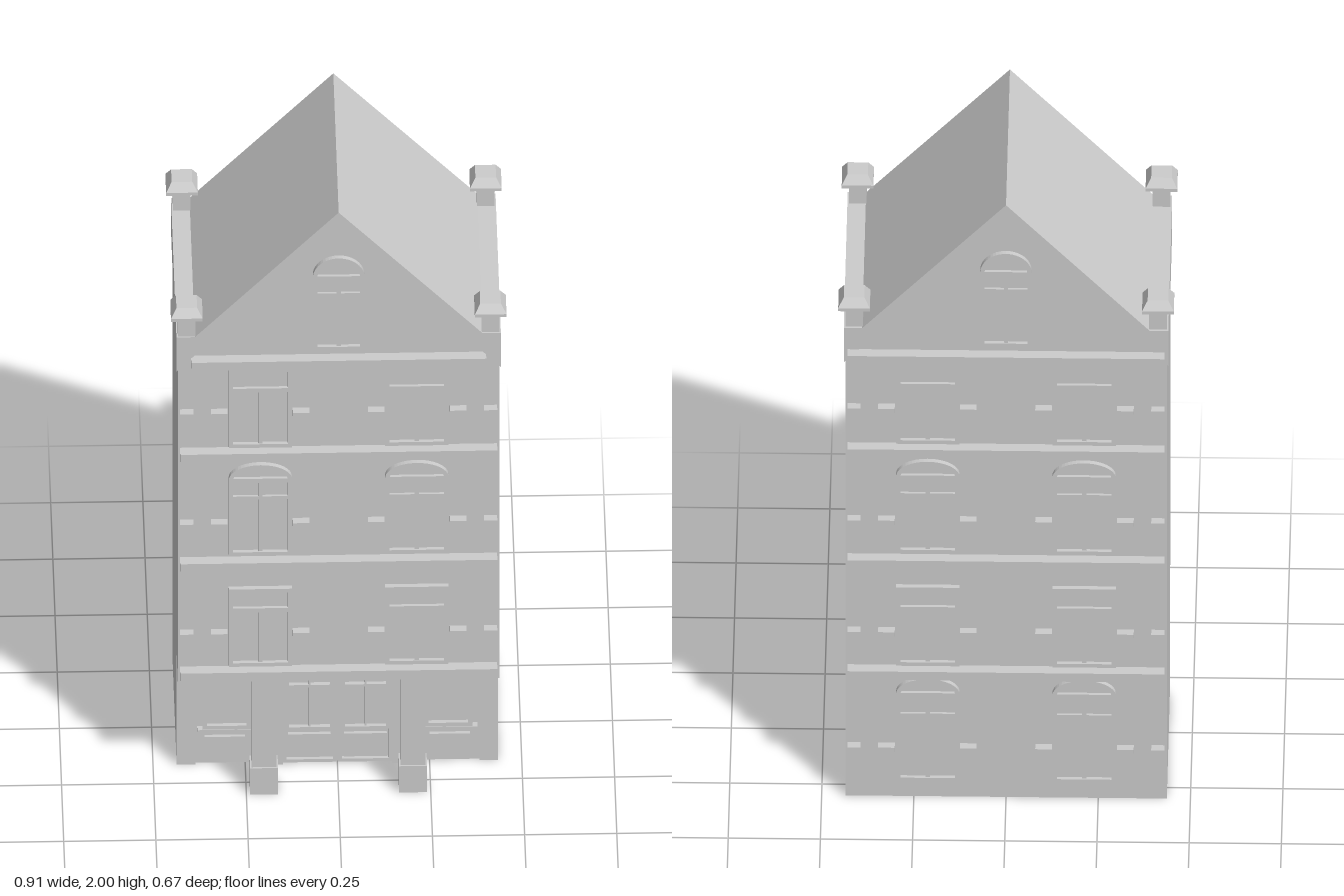
import * as THREE from 'three';

const grey = new THREE.MeshStandardMaterial({ color: 0xcccccc });

function add(parent, name, geometry, x = 0, y = 0, z = 0) {
  const mesh = new THREE.Mesh(geometry, grey);
  mesh.name = name;
  mesh.position.set(x, y, z);
  parent.add(mesh);
  return mesh;
}

// Box given by its limits on each axis
function block(parent, name, x0, x1, y0, y1, z0, z1) {
  return add(parent, name, new THREE.BoxGeometry(x1 - x0, y1 - y0, z1 - z0),
    (x0 + x1) / 2, (y0 + y1) / 2, (z0 + z1) / 2);
}

function prism(parent, name, shape, z0, z1) {
  const geometry = new THREE.ExtrudeGeometry(shape, { depth: z1 - z0, bevelEnabled: false, curveSegments: 12 });
  return add(parent, name, geometry, 0, 0, z0);
}

const polygon = (points) => new THREE.Shape(points.map(([x, y]) => new THREE.Vector2(x, y)));

// Rectangle of half width w, topped by an elliptical arch of the given rise
function opening(w, y0, y1, rise) {
  const s = new THREE.Shape();
  s.moveTo(-w, y0);
  s.lineTo(w, y0);
  s.lineTo(w, y1);
  if (rise > 0) s.absellipse(0, y1, w, rise, 0, Math.PI, false);
  else s.lineTo(-w, y1);
  s.lineTo(-w, y0);
  return s;
}

function frame(parent, name, w, y0, y1, rise, border, z0, z1) {
  const s = opening(w, y0, y1, rise);
  s.holes.push(opening(w - border, y0 + border, rise ? y1 : y1 - border, rise ? rise - border : 0));
  return prism(parent, name, s, z0, z1);
}

// Casement window with frame, transom, two lower sashes and an optional arched light
function addWindow(parent, x, w, y0, y1, rise) {
  const g = new THREE.Group();
  g.name = 'window';
  g.position.x = x;
  parent.add(g);
  prism(g, 'glass', opening(w - 0.004, y0 + 0.004, y1, Math.max(rise - 0.004, 0)), -0.005, 0.003);
  frame(g, 'windowFrame', w, y0, y1, rise, 0.012, -0.005, 0.014);
  const transom = rise ? y1 - 0.005 : y0 + (y1 - y0) * 0.72;
  block(g, 'transom', -w + 0.01, w - 0.01, transom - 0.007, transom + 0.007, 0, 0.012);
  block(g, 'mullion', -0.006, 0.006, y0 + 0.01, transom, 0, 0.01);
  if (rise) {
    const middle = y0 + (y1 - y0) * 0.75;
    block(g, 'upperBar', -w + 0.01, w - 0.01, middle - 0.005, middle + 0.005, 0, 0.01);
  }
}

// Ornament shared by both elevations, built outward from z = 0
function elevation(name, topLedge) {
  const g = new THREE.Group();
  g.name = name;
  const ledges = [[0.415, 0.43], [0.79, 0.43], [1.165, 0.43], [1.48, topLedge]];
  for (const [y, half] of ledges) block(g, 'ledge', -half, half, y, y + 0.028, -0.005, 0.032);
  for (const side of [-1, 1]) {
    addWindow(g, side * 0.212, 0.086, 0.45, 0.715, 0);
    addWindow(g, side * 0.212, 0.086, 0.83, 1.09, 0.05);
    addWindow(g, side * 0.212, 0.086, 1.2, 1.47, 0);
  }
  addWindow(g, 0, 0.07, 1.53, 1.78, 0.065);
  for (const y of [0.56, 0.937, 1.315]) addAnchors(g, y);
  return g;
}

// Row of small anchor blocks beside the windows
function addAnchors(parent, y) {
  for (const side of [-1, 1]) {
    for (const [x, w] of [[0.102, 0.045], [0.324, 0.045], [0.412, 0.036]]) {
      block(parent, 'wallAnchor', side * x - w / 2, side * x + w / 2, y - 0.01, y + 0.01, -0.005, 0.024);
    }
  }
}

// Raised panel with a border
function addPanel(parent, name, x0, x1, y0, y1, z, border) {
  const f = frame(parent, name, (x1 - x0) / 2, y0, y1, 0, border, 0, 0.012);
  f.position.set((x0 + x1) / 2, 0, z);
}

function shopFront() {
  const g = new THREE.Group();
  g.name = 'shopFront';
  const z = 0.159;
  for (const side of [-1, 1]) {
    const pair = (a, b) => (side > 0 ? [a, b] : [-b, -a]);
    block(g, 'cornerPilaster', ...pair(0.385, 0.436), 0, 0.388, z, 0.167);
    // Shop window over a panelled base
    addPanel(g, 'shopWindow', ...pair(0.235, 0.366), 0.125, 0.315, z + 0.005, 0.012);
    block(g, 'shopSill', ...pair(0.235, 0.38), 0.112, 0.125, z, 0.178);
    block(g, 'basePanel', ...pair(0.25, 0.36), 0.02, 0.095, z, 0.17);
    // Door leaf with glazed top and solid lower panel
    addPanel(g, 'doorLeaf', ...pair(0.002, 0.148), 0.005, 0.322, z, 0.01);
    addPanel(g, 'doorGlazing', ...pair(0.012, 0.14), 0.12, 0.312, z + 0.004, 0.008);
    block(g, 'doorBar', ...pair(0.015, 0.138), 0.262, 0.27, z, 0.172);
    block(g, 'doorMullion', ...pair(0.073, 0.079), 0.125, 0.31, z, 0.172);
    block(g, 'doorPanel', ...pair(0.018, 0.134), 0.022, 0.1, z, 0.17);
    // Free-standing post with a thicker foot
    block(g, 'post', ...pair(0.168, 0.236), 0, 0.392, 0.252, 0.3);
    block(g, 'postFoot', ...pair(0.164, 0.24), 0, 0.09, 0.247, 0.305);
    block(g, 'doorJamb', ...pair(0.148, 0.164), 0, 0.375, z, 0.174);
  }
  block(g, 'doorHead', -0.148, 0.148, 0.36, 0.375, z, 0.174);
  block(g, 'doorTransom', -0.148, 0.148, 0.318, 0.33, z, 0.174);
  return g;
}

// Corner pinnacle with a tapered cap
function addPinnacle(parent, x, z) {
  const g = new THREE.Group();
  g.name = 'pinnacle';
  g.position.set(x, 0, z);
  parent.add(g);
  block(g, 'pinnacleShaft', -0.024, 0.024, 1.57, 1.65, -0.024, 0.024);
  block(g, 'capRim', -0.043, 0.043, 1.645, 1.655, -0.043, 0.043);
  const cap = new THREE.CylinderGeometry(0.028 * Math.SQRT2, 0.043 * Math.SQRT2, 0.026, 4).toNonIndexed();
  cap.rotateY(Math.PI / 4);
  cap.computeVertexNormals();
  add(g, 'cap', cap, 0, 1.668, 0);
}

export function createModel() {
  const house = new THREE.Group();
  house.name = 'townHouse';

  // Masses: set-back ground floor and gabled upper storeys
  block(house, 'groundFloor', -0.436, 0.436, 0, 0.39, -0.3, 0.16);
  prism(house, 'upperStoreys', polygon([
    [-0.436, 0.388], [0.436, 0.388], [0.436, 1.468], [0, 1.942], [-0.436, 1.468],
  ]), -0.3, 0.305);

  // Roof slab with low parapets along both sides
  prism(house, 'roof', polygon([
    [0.44, 1.463], [0.44, 1.58], [0.39, 1.58], [0, 2],
    [-0.39, 1.58], [-0.44, 1.58], [-0.44, 1.463], [0, 1.942],
  ]), -0.301, 0.316);

  for (const x of [-0.412, 0.412]) {
    addPinnacle(house, x, 0.288);
    addPinnacle(house, x, -0.27);
  }

  const front = elevation('frontElevation', 0.4);
  front.position.z = 0.305;
  house.add(front, shopFront());

  // Back has its own ground floor windows
  const back = elevation('backElevation', 0.43);
  back.position.z = -0.3;
  back.rotation.y = Math.PI;
  for (const side of [-1, 1]) addWindow(back, side * 0.212, 0.086, 0.06, 0.355, 0.05);
  addAnchors(back, 0.17);
  house.add(back);

  return house;
}
